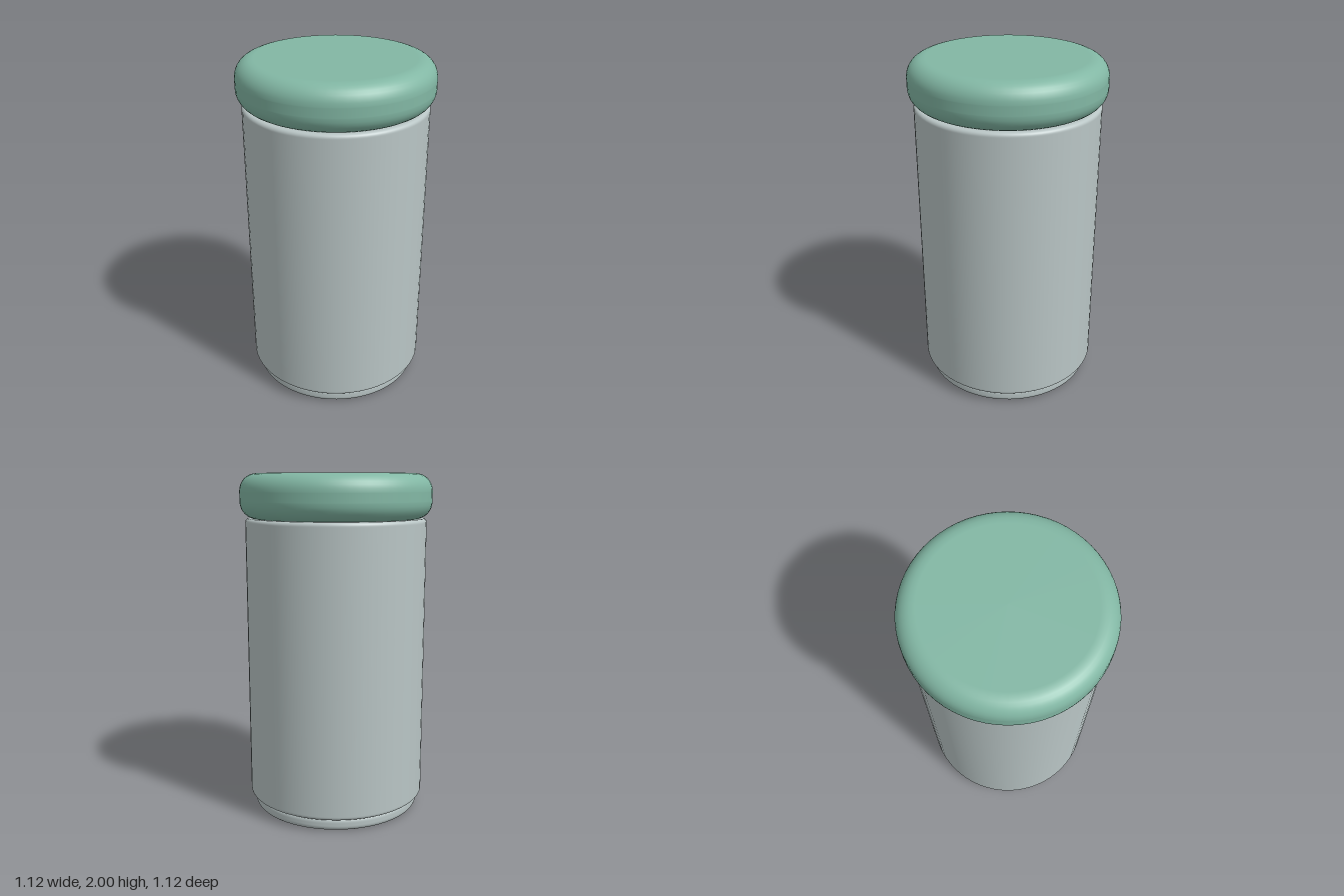
import * as THREE from 'three';

const SEGMENTS = 64;

// Closed disc with rounded upper and lower rims, turned around the y axis
function roundedDisc(name, radius, y0, y1, bevelX, bevelY, material) {
  const inner = radius - bevelX;
  const steps = 8;
  const points = [new THREE.Vector2(0, y0), new THREE.Vector2(inner - 0.01, y0)];
  const addArc = (centreY, start) => {
    for (let i = 0; i <= steps; i++) {
      const a = start + (i / steps) * Math.PI / 2;
      points.push(new THREE.Vector2(inner + bevelX * Math.cos(a), centreY + bevelY * Math.sin(a)));
    }
  };
  addArc(y0 + bevelY, -Math.PI / 2);
  // Support points keep the straight wall evenly shaded
  points.push(new THREE.Vector2(radius, y0 + bevelY + 0.005));
  points.push(new THREE.Vector2(radius, y1 - bevelY - 0.005));
  addArc(y1 - bevelY, 0);
  points.push(new THREE.Vector2(inner - 0.01, y1), new THREE.Vector2(0, y1));

  const mesh = new THREE.Mesh(new THREE.LatheGeometry(points, SEGMENTS), material);
  mesh.name = name;
  return mesh;
}

export function createModel() {
  const paleGrey = new THREE.MeshStandardMaterial({ color: 0xb9c5c5 });
  paleGrey.name = 'paleGrey';
  const sageGreen = new THREE.MeshStandardMaterial({ color: 0x82b7a4 });
  sageGreen.name = 'sageGreen';

  const model = new THREE.Group();
  model.name = 'canister';
  model.add(
    roundedDisc('base', 0.5, 0, 0.08, 0.03, 0.03, paleGrey),
    roundedDisc('body', 0.53, 0.075, 1.745, 0.022, 0.022, paleGrey),
    roundedDisc('lid', 0.56, 1.74, 2, 0.1, 0.1, sageGreen),
  );
  return model;
}
